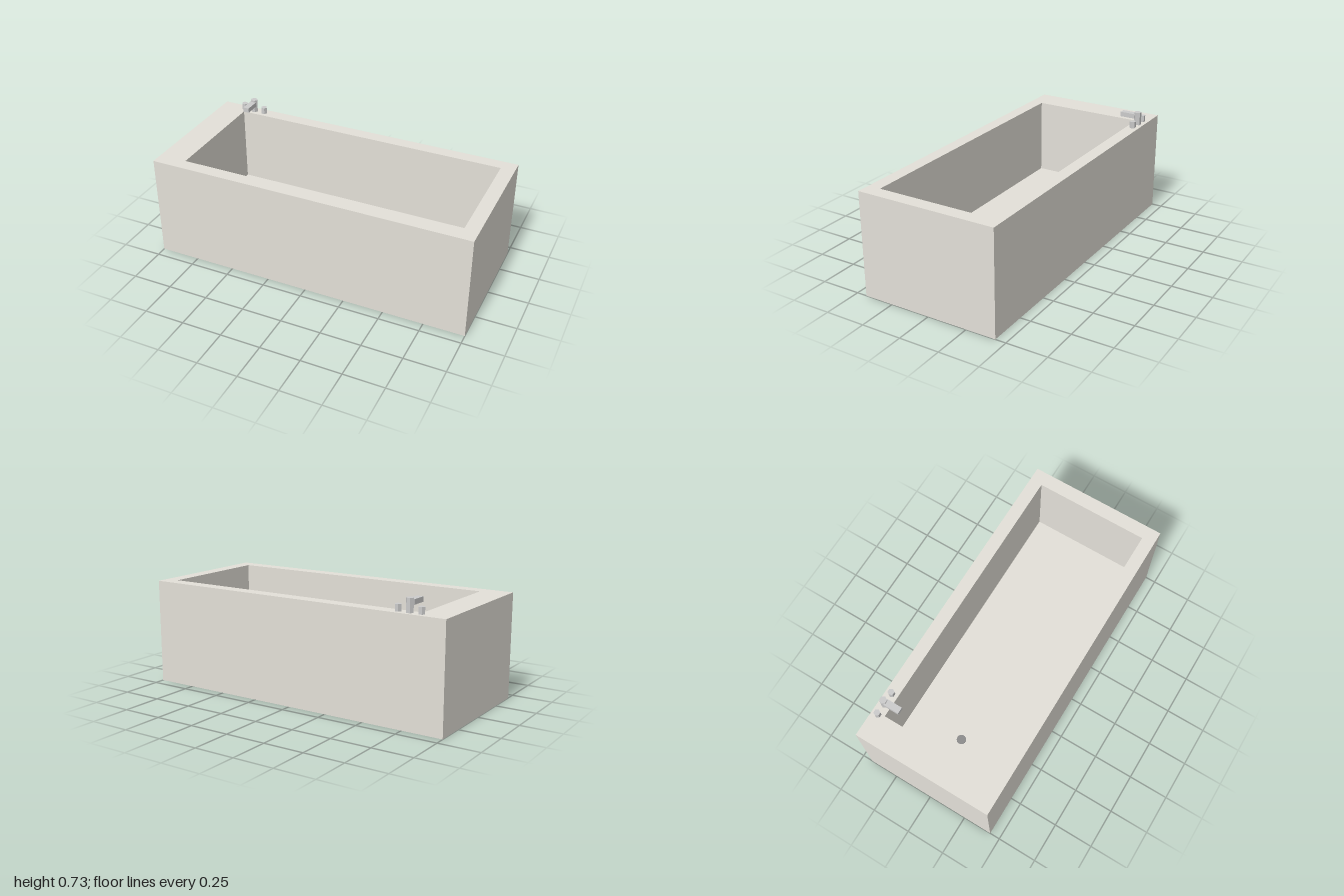
import * as THREE from 'three';

export function createModel() {
  const model = new THREE.Group();
  const material = (color) => new THREE.MeshStandardMaterial({ color, flatShading: true });
  const stone = material(0xe3e0d8), metal = material(0xc6c6c6), dark = material(0x8c8c8c);

  const add = (name, geometry, mat, x, y, z) => {
    const mesh = new THREE.Mesh(geometry, mat);
    mesh.name = name;
    mesh.position.set(x, y, z);
    model.add(mesh);
  };

  // Tub: rectangular loops run up the outside, across the rim and down into the basin
  const height = 0.648, floorY = 0.163;
  const loop = (left, right, z, y) => [[left, y, -z], [right, y, -z], [right, y, z], [left, y, z]];
  const outer = [-1, 1, 0.435], inner = [-0.825, 0.914, 0.355];
  const loops = [
    loop(...outer, 0), loop(...outer, height),
    loop(...inner, height), loop(...inner, floorY),
  ];
  const positions = [];
  const quad = (a, b, c, d) => positions.push(...a, ...b, ...c, ...a, ...c, ...d);
  for (let i = 0; i < loops.length - 1; i++) {
    for (let j = 0; j < 4; j++) {
      const k = (j + 1) % 4;
      quad(loops[i][j], loops[i + 1][j], loops[i + 1][k], loops[i][k]);
    }
  }
  quad(...loops[0]); // underside
  quad(...loops[3].slice().reverse()); // basin floor
  const tub = new THREE.BufferGeometry();
  tub.setAttribute('position', new THREE.Float32BufferAttribute(positions, 3));
  tub.computeVertexNormals();
  add('tub', tub, stone, 0, 0, 0);

  // Drain disc on the basin floor
  add('drain', new THREE.CylinderGeometry(0.029, 0.029, 0.004, 24), dark, -0.625, floorY + 0.002, 0);

  // Hexagonal tap column and its two handles, standing on the rear rim
  const tapX = -0.766, tapZ = -0.394;
  const hexPost = (name, radius, h, x) => {
    const geometry = new THREE.CylinderGeometry(radius, radius, h, 6);
    geometry.rotateY(Math.PI / 6);
    add(name, geometry, metal, x, height + h / 2, tapZ);
  };
  hexPost('tapColumn', 0.023, 0.082, tapX);
  hexPost('rightHandle', 0.02, 0.041, tapX - 0.071);
  hexPost('leftHandle', 0.02, 0.041, tapX + 0.071);

  // Spout reaching over the basin
  add('spout', new THREE.BoxGeometry(0.04, 0.03, 0.1), metal, tapX, 0.704, -0.332);

  return model;
}
